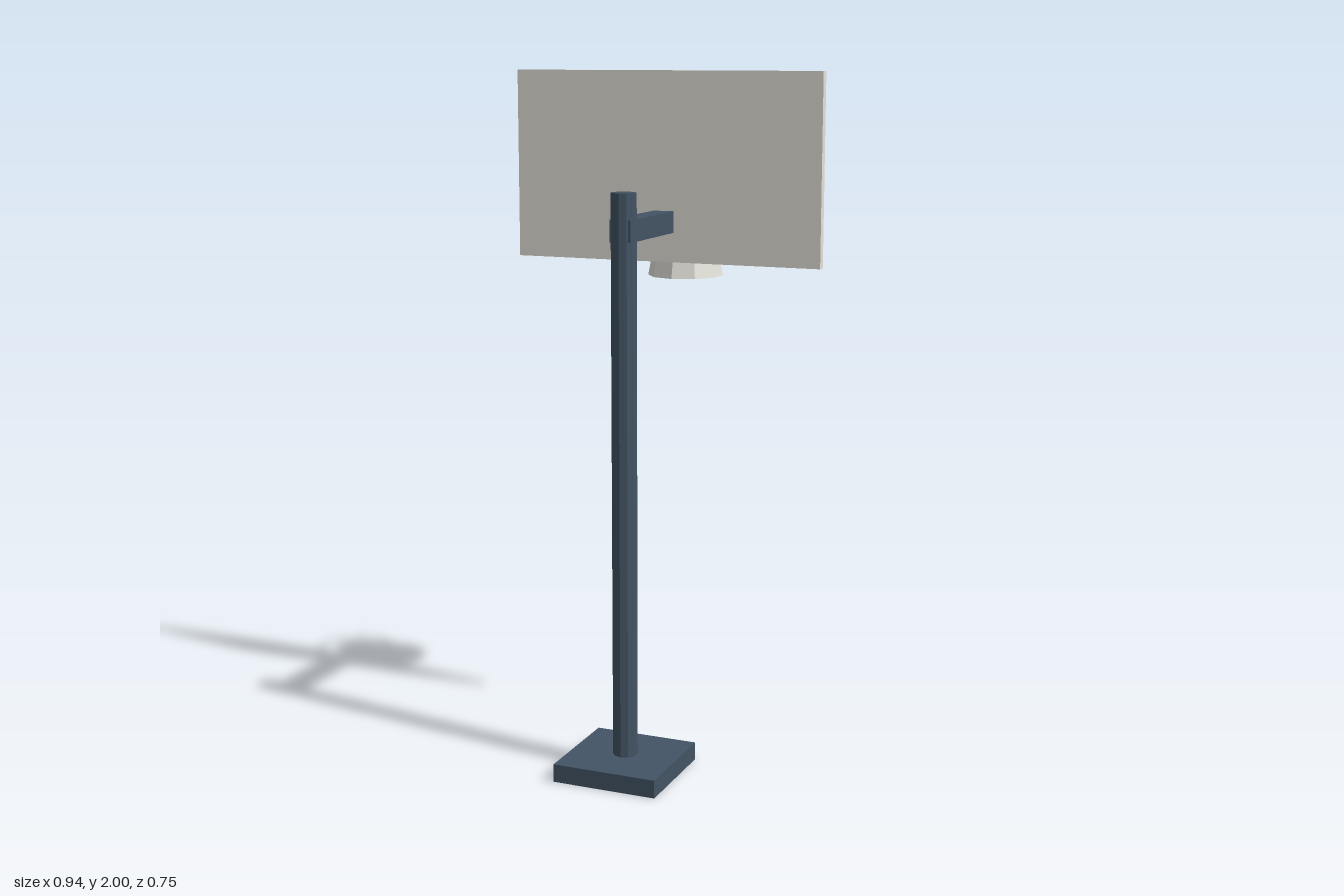
import * as THREE from 'three';

export function createModel() {
  const model = new THREE.Group();
  model.name = 'basketballHoop';

  const paint = (name, color) => {
    const m = new THREE.MeshStandardMaterial({ color, flatShading: true });
    m.name = name;
    return m;
  };
  const steel = paint('slateSteel', 0x435465);
  const white = paint('offWhite', 0xe4e2da);
  const red = paint('targetRed', 0xd8463b);
  const orange = paint('rimOrange', 0xe08a1e);

  const add = (name, geometry, material, x, y, z) => {
    const mesh = new THREE.Mesh(geometry, material);
    mesh.name = name;
    mesh.position.set(x, y, z);
    model.add(mesh);
    return mesh;
  };
  // Box given by its half width and its y and z ranges
  const addBox = (name, material, halfX, y0, y1, z0, z1) =>
    add(name, new THREE.BoxGeometry(halfX * 2, y1 - y0, z1 - z0), material,
      0, (y0 + y1) / 2, (z0 + z1) / 2);

  const poleZ = 0.215;
  const hoopZ = -0.245;

  // Stand
  addBox('base', steel, 0.156, 0, 0.053, 0.059, 0.372);
  add('pole', new THREE.CylinderGeometry(0.036, 0.036, 1.635, 10), steel, 0, 0.8575, poleZ);
  addBox('arm', steel, 0.031, 1.54, 1.602, -0.073, 0.24);

  // Backboard and its target panel
  addBox('backboard', white, 0.47, 1.453, 2, -0.11, -0.085);
  addBox('targetPanel', red, 0.156, 1.531, 1.766, -0.118, -0.11);

  // Rim and net
  const rim = add('rim', new THREE.TorusGeometry(0.12, 0.008, 6, 16), orange, 0, 1.6, hoopZ);
  rim.rotation.x = Math.PI / 2;
  add('net', new THREE.CylinderGeometry(0.073, 0.1115, 0.2, 10), white, 0, 1.498, hoopZ);

  return model;
}
